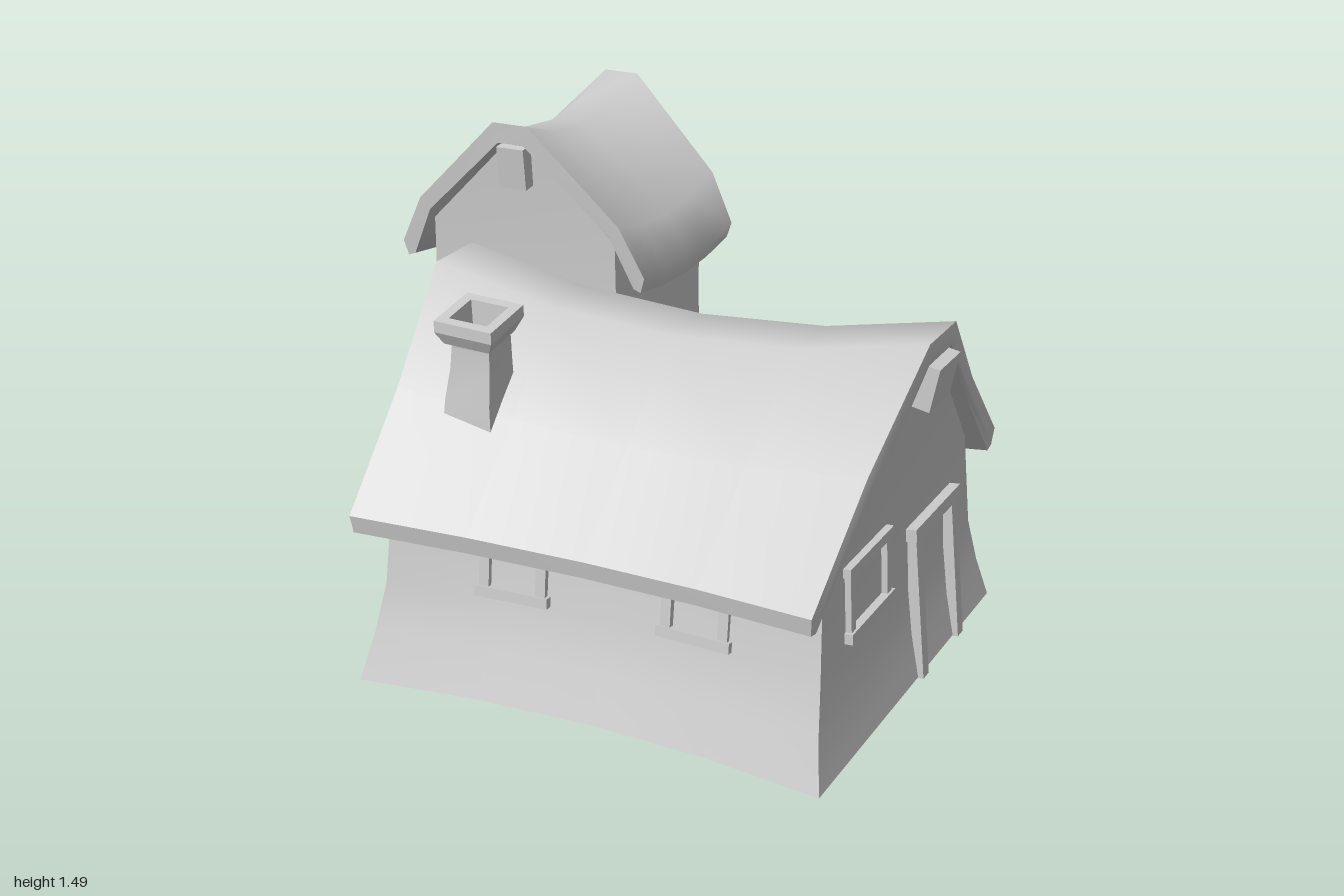
import * as THREE from 'three';
import { toCreasedNormals } from 'three/addons/utils/BufferGeometryUtils.js';

const material = new THREE.MeshStandardMaterial({ color: 0xcccccc, side: THREE.DoubleSide });
const SPANS = [-1, -0.5, 0, 0.5, 1];

function add(parent, name, geometry) {
  const mesh = new THREE.Mesh(geometry, material);
  mesh.name = name;
  parent.add(mesh);
  return mesh;
}

function box(parent, name, w, h, d, x, y, z) {
  const mesh = add(parent, name, new THREE.BoxGeometry(w, h, d));
  mesh.position.set(x, y, z);
  return mesh;
}

// Skin a series of closed rings of [x, y, z]; capOutline closes both ends along x
function loft(rings, crease, capped = false) {
  const n = rings[0].length;
  const index = [];
  for (let j = 0; j < rings.length - 1; j++) {
    for (let i = 0; i < n; i++) {
      const a = j * n + i, b = j * n + (i + 1) % n;
      index.push(a, b, b + n, a, b + n, a + n);
    }
  }
  if (capped) {
    const outline = rings[0].map(p => new THREE.Vector2(p[2], p[1]));
    const last = (rings.length - 1) * n;
    for (const tri of THREE.ShapeUtils.triangulateShape(outline, [])) {
      const ccw = THREE.ShapeUtils.area(tri.map(k => outline[k])) > 0;
      const [a, b, c] = ccw ? tri : [tri[0], tri[2], tri[1]];
      index.push(a, b, c, last + a, last + c, last + b);
    }
  }
  const geometry = new THREE.BufferGeometry();
  geometry.setAttribute('position', new THREE.Float32BufferAttribute(rings.flat(2), 3));
  geometry.setIndex(index);
  return toCreasedNormals(geometry, crease);
}

// Walls from levels [y, halfLength, halfDepth, inwardBow, sag], ridge along x
function wallGeometry(levels) {
  const rings = levels.map(([y, hx, hz, bow, sag]) => {
    const side = (t, s) => {
      const k = 1 - t * t;
      return [t * hx, y - sag * k, s * (hz - bow * k)];
    };
    return [...SPANS.map(t => side(t, 1)), ...SPANS.map(t => side(-t, -1))];
  });
  return loft(rings, 0.6);
}

// Sagging roof from half profile points [z, y, inwardBow, sag, halfLength]
function roofGeometry(half) {
  const rings = SPANS.map(t => {
    const k = 1 - t * t;
    const right = half.map(([z, y, bow, sag, len]) => [t * len, y - sag * k, z - bow * k]);
    const left = right.map(([x, y, z]) => [x, y, -z]).reverse();
    return [...right, ...left];
  });
  return loft(rings, 0.9, true);
}

// Short ridge beam poking out under each gable
function ridgeBeams(parent, x, y, height, width, lean) {
  for (const s of [-1, 1]) {
    box(parent, 'ridgeBeam', 0.12, height, width, s * x, y, 0).rotation.z = -s * lean;
  }
}

// Surrounds lie in a local xy plane that is turned and leaned onto the wall
function surround(parent, name, x, y, z, yaw, lean) {
  const group = new THREE.Group();
  group.name = name;
  group.position.set(x, y, z);
  group.rotation.set(-lean, yaw, 0, 'YXZ');
  parent.add(group);
  return group;
}

function windowFrame(parent, w, h, x, y, z, yaw, lean) {
  const g = surround(parent, 'window', x, y, z, yaw, lean);
  box(g, 'lintel', w, 0.03, 0.045, 0, h / 2 - 0.015, 0);
  box(g, 'sill', w, 0.032, 0.05, 0, -h / 2 + 0.016, 0);
  for (const s of [-1, 1]) box(g, 'jamb', 0.032, h - 0.05, 0.035, s * (w / 2 - 0.026), 0, 0);
}

function doorFrame(parent, w, h, x, y, z, yaw, lean) {
  const g = surround(parent, 'door', x, y, z, yaw, lean);
  box(g, 'lintel', w, 0.04, 0.06, 0, h - 0.02, 0);
  for (const s of [-1, 1]) box(g, 'jamb', 0.045, h - 0.03, 0.045, s * (w / 2 - 0.036), (h - 0.03) / 2, 0);
}

export function createModel() {
  const model = new THREE.Group();
  model.name = 'cottage';

  // Main house
  const house = new THREE.Group();
  house.name = 'mainHouse';
  house.position.set(0.175, 0, 0.135);
  model.add(house);
  add(house, 'houseWalls', wallGeometry([
    [0.01, 0.745, 0.695, 0.07, 0],
    [0.15, 0.718, 0.645, 0.07, 0],
    [0.3, 0.7, 0.598, 0.07, 0],
    [0.6, 0.685, 0.565, 0.07, 0.025],
    [1.065, 0.745, 0.08, 0, 0.105],
  ]));
  add(house, 'houseRoof', roofGeometry([
    [0.105, 1.145, 0, 0.107, 0.795],
    [0.42, 0.857, 0.035, 0.063, 0.747],
    [0.735, 0.57, 0.07, 0.02, 0.725],
    [0.725, 0.515, 0.07, 0.02, 0.72],
    [0.69, 0.508, 0.07, 0.02, 0.72],
    [0.39, 0.793, 0.035, 0.063, 0.745],
    [0.09, 1.077, 0, 0.107, 0.79],
  ]));
  ridgeBeams(house, 0.748, 1.01, 0.135, 0.165, 0.2);

  // House openings
  for (const s of [-1, 1]) windowFrame(house, 0.235, 0.24, s * 0.295, 0.43, 0.53, -s * 0.05, 0.1);
  windowFrame(house, 0.235, 0.24, 0.295, 0.43, -0.53, Math.PI + 0.05, 0.1);
  windowFrame(house, 0.325, 0.23, 0.693, 0.46, 0.262, Math.PI / 2, 0.05);
  doorFrame(house, 0.375, 0.49, 0.74, 0.007, -0.242, Math.PI / 2, 0.095);

  // Tower, its ridge turned to run front to back
  const tower = new THREE.Group();
  tower.name = 'tower';
  tower.position.set(-0.56, 0, -0.49);
  tower.rotation.y = Math.PI / 2;
  model.add(tower);
  add(tower, 'towerWalls', wallGeometry([
    [0.025, 0.35, 0.395, 0, 0],
    [0.4, 0.315, 0.35, 0, 0],
    [0.75, 0.298, 0.332, 0, 0],
    [1.13, 0.305, 0.328, 0, 0.05],
    [1.42, 0.33, 0.04, 0, 0.08],
  ]));
  add(tower, 'towerRoof', roofGeometry([
    [0.06, 1.495, 0, 0.083, 0.377],
    [0.36, 1.2, 0, 0.05, 0.34],
    [0.44, 1.04, 0, 0.035, 0.323],
    [0.425, 0.99, 0, 0.03, 0.318],
    [0.4, 1.0, 0, 0.03, 0.318],
    [0.325, 1.165, 0, 0.05, 0.338],
    [0.045, 1.43, 0, 0.083, 0.373],
  ]));
  ridgeBeams(tower, 0.312, 1.358, 0.135, 0.095, 0.12);

  // Tower openings
  windowFrame(model, 0.235, 0.23, -0.56, 1.02, -0.793, Math.PI, -0.02);
  windowFrame(model, 0.235, 0.24, -0.893, 0.73, -0.49, -Math.PI / 2, 0.04);
  doorFrame(model, 0.37, 0.5, -0.56, 0.022, -0.841, Math.PI, 0.085);

  // Chimney: square rings [y, halfWidth, x, z], the hollow cap tilted
  const chimneyRings = [
    [0.7, 0.085, -0.325, 0.495], [0.85, 0.075, -0.325, 0.495], [0.95, 0.066, -0.32, 0.49],
    [1.04, 0.062, -0.315, 0.495], [1.04, 0.075, -0.315, 0.505], [1.08, 0.095, -0.315, 0.505],
    [1.115, 0.095, -0.315, 0.505], [1.115, 0.063, -0.315, 0.505], [1.0, 0.055, -0.315, 0.5],
    [1.0, 0, -0.315, 0.5],
  ].map(([y, r, cx, cz]) => [[-1, 1], [1, 1], [1, -1], [-1, -1]].map(([sx, sz]) => {
    const tilt = y > 1.02 ? 1 : 0;
    return [cx + sx * r, y - tilt * r * (0.14 * sz + 0.04 * sx), cz + sz * r];
  }));
  add(model, 'chimney', loft(chimneyRings, 0.4));

  // Porch roof over the corner behind the house, drawn as a side outline
  const outline = new THREE.Shape([
    [0.4, 0.505], [0.6, 0.452], [0.77, 0.405], [0.835, 0.36], [0.83, 0.335], [0.76, 0.37], [0.6, 0.417], [0.4, 0.47],
  ].map(p => new THREE.Vector2(...p)));
  const slab = new THREE.ExtrudeGeometry(outline, { depth: 0.44, bevelEnabled: false });
  slab.rotateY(Math.PI / 2).translate(-0.17, 0, 0);
  add(model, 'porchRoof', toCreasedNormals(slab, 0.6));

  // Leaning porch posts
  for (const x of [-0.118, 0.222]) {
    box(model, 'porchPost', 0.052, 0.375, 0.045, x, 0.189, -0.818).rotation.x = 0.11;
  }

  return model;
}
